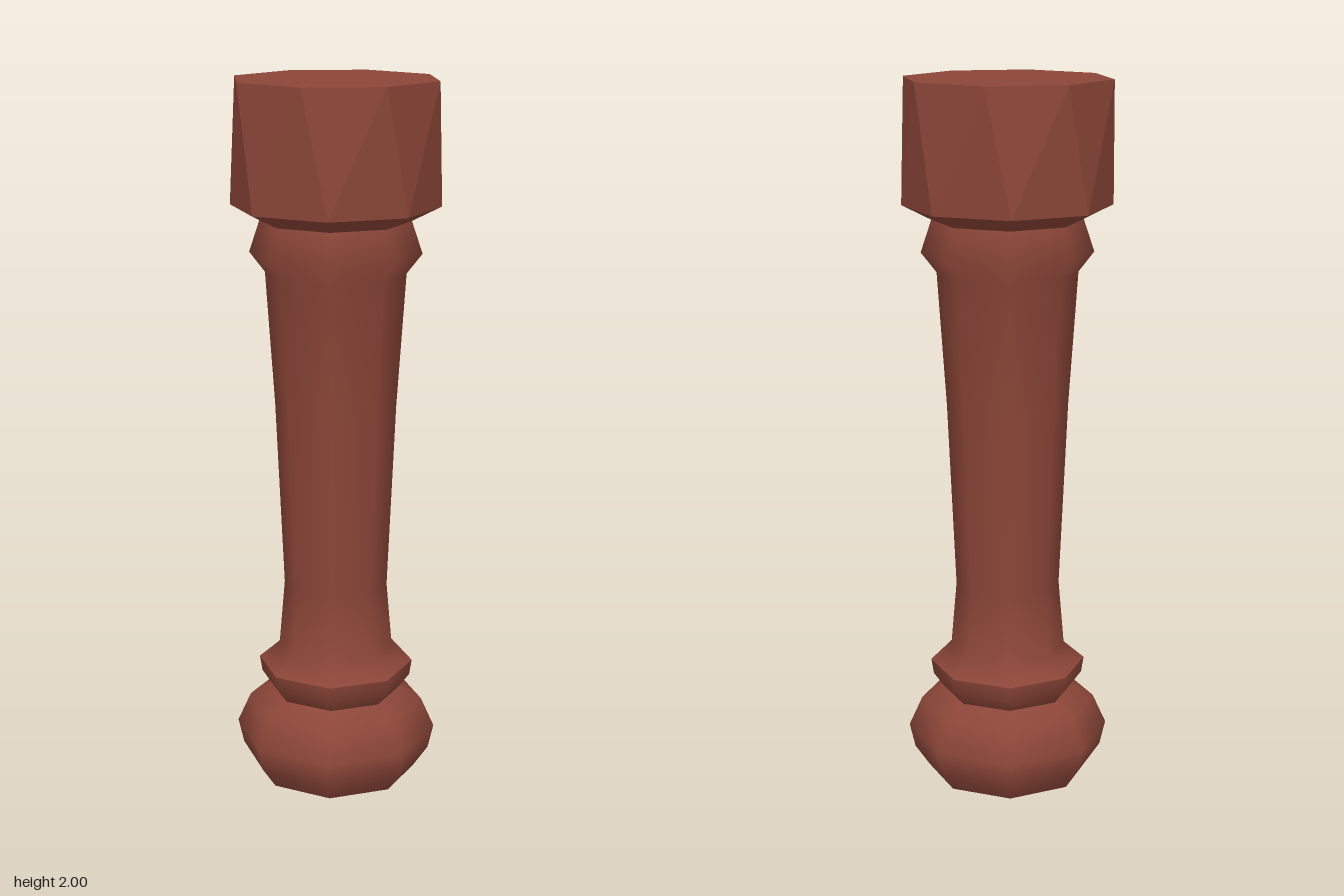
import * as THREE from 'three';

const SIDES = 8;
const PHASE = 0.14; // angle of the first corner around the leg

export function createModel() {
  const group = new THREE.Group();
  group.name = 'turnedLeg';
  const wood = new THREE.MeshStandardMaterial({ color: 0x8c4638 });
  wood.name = 'reddish brown wood';

  const add = (name, geometry) => {
    const mesh = new THREE.Mesh(geometry, wood);
    mesh.name = name;
    group.add(mesh);
    return mesh;
  };
  // Smooth turned section from [radius, height] pairs, listed upwards
  const turned = (name, profile) => add(name, new THREE.LatheGeometry(
    profile.map(([r, y]) => new THREE.Vector2(r, y)), SIDES, PHASE));

  // Bun foot and its flat underside
  turned('bunFoot', [[0.23, 0], [0.272, 0.06], [0.288, 0.13], [0.25, 0.215], [0.185, 0.25]]);
  const sole = new THREE.CircleGeometry(0.23, SIDES);
  sole.rotateX(Math.PI / 2);
  sole.rotateY(PHASE);
  add('sole', sole);

  // Collar ring above the foot
  turned('collarRing', [[0.185, 0.25], [0.215, 0.29], [0.222, 0.335]]);

  // Tapered shaft with its upper bead
  turned('shaft', [[0.222, 0.335], [0.163, 0.385], [0.147, 0.57], [0.17, 1.1],
    [0.195, 1.475], [0.238, 1.53], [0.208, 1.62]]);
  turned('blockUnderside', [[0.208, 1.62], [0.289, 1.66]]);

  // Faceted top block, its upper ring twisted against the lower one
  let block = new THREE.CylinderGeometry(0.289, 0.289, 0.34, SIDES, 1, false, PHASE);
  const twist = new THREE.Matrix4().makeRotationY(-0.243);
  const p = block.attributes.position;
  const v = new THREE.Vector3();
  for (let i = 0; i < p.count; i++) {
    v.fromBufferAttribute(p, i);
    if (v.y > 0) v.applyMatrix4(twist);
    p.setXYZ(i, v.x, v.y, v.z);
  }
  block = block.toNonIndexed();
  block.computeVertexNormals();
  add('topBlock', block).position.y = 1.83;

  return group;
}
